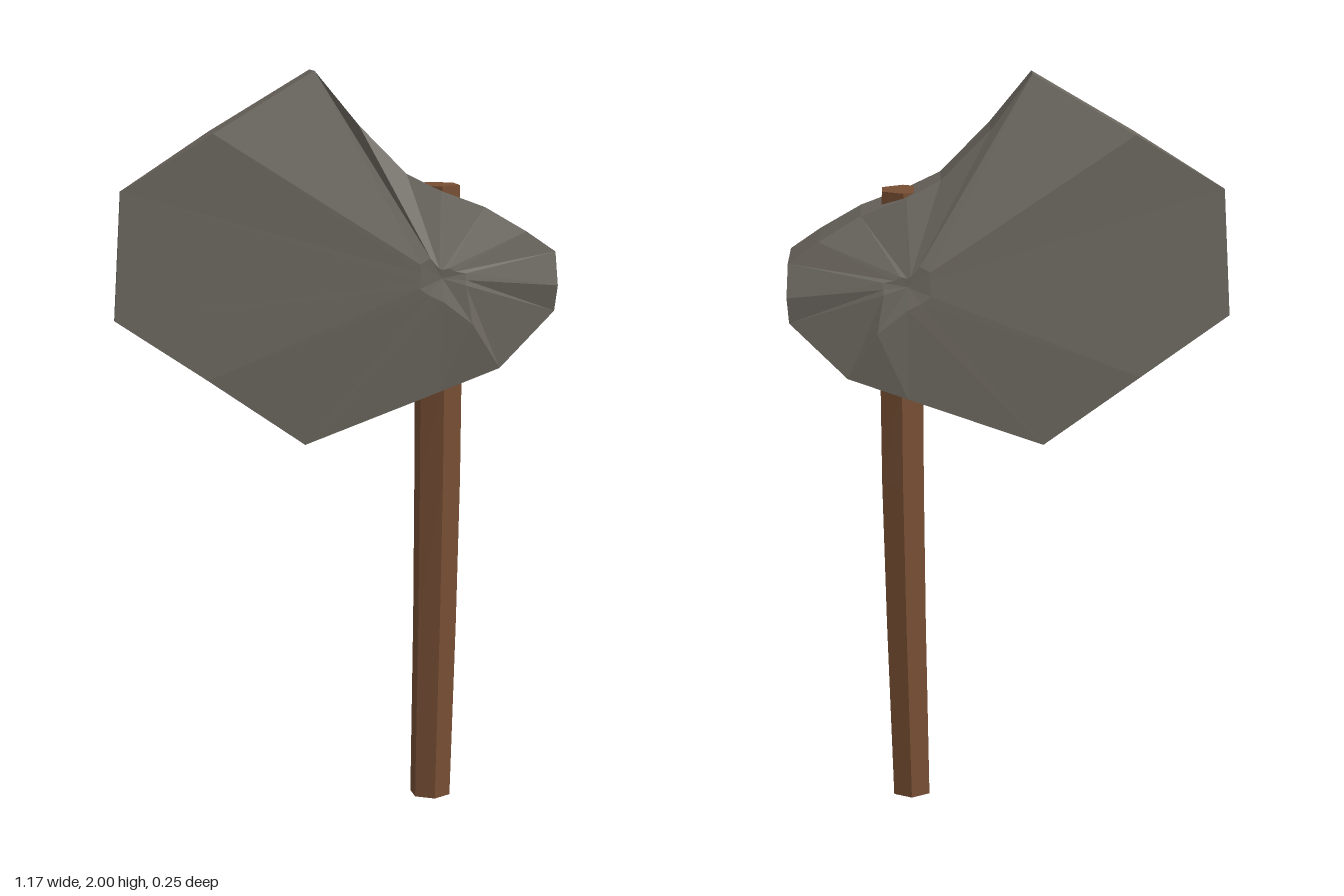
import * as THREE from 'three';

const stone = new THREE.MeshStandardMaterial({ color: 0x6b665e, flatShading: true });
stone.name = 'stone';
const wood = new THREE.MeshStandardMaterial({ color: 0x764e33, flatShading: true });
wood.name = 'wood';

// Closed faceted solid from a list of triangles
function facets(tris) {
  const g = new THREE.BufferGeometry();
  g.setAttribute('position', new THREE.Float32BufferAttribute(tris.flat(2), 3));
  g.computeVertexNormals();
  return g;
}

// Stone head: clockwise rim [x, y, half thickness, hub reach, hub depth]
function headGeometry() {
  const rim = [
    [-0.06, 2.0, 0.036, 0.1, 0.112],
    [0.05, 1.86, 0.076, 0.1, 0.112],
    [0.18, 1.73, 0.072, 0.1, 0.112],
    [0.27, 1.685, 0.088, 0.1, 0.112],
    [0.39, 1.64, 0.09, 0.15, 0.113],
    [0.5, 1.575, 0.105, 0.15, 0.114],
    [0.58, 1.52, 0.109, 0.2, 0.116],
    [0.585, 1.43, 0.12, 0.2, 0.118],
    [0.58, 1.36, 0.105, 0.2, 0.12],
    [0.43, 1.21, 0.108, 0.5, 0.127],
    [0.27, 1.15, 0.1, 0.2, 0.118],
    [-0.09, 1.01, 0.055, 0.1, 0.114],
    [-0.35, 1.19, 0.04, 0.1, 0.112],
    [-0.59, 1.35, 0.006, 0.07, 0.112],
    [-0.57, 1.69, 0.006, 0.07, 0.112],
    [-0.33, 1.84, 0.043, 0.1, 0.112],
  ];
  const cx = 0.27, cy = 1.455, cz = 0.11, tris = [];
  rim.forEach((a, i) => {
    const b = rim[(i + 1) % rim.length];
    const edge = (p, s) => [p[0], p[1], p[2] * s];
    const hub = (p, s) => [cx + (p[0] - cx) * p[3], cy + (p[1] - cy) * p[3], p[4] * s];
    for (const s of [1, -1]) {
      // cheek facets, then the shallow dimple in the middle
      const side = [
        [hub(a, s), edge(b, s), edge(a, s)],
        [hub(a, s), hub(b, s), edge(b, s)],
        [[cx, cy, cz * s], hub(b, s), hub(a, s)],
      ];
      side.forEach(t => tris.push(s > 0 ? t : t.reverse()));
    }
    // band joining both cheeks
    tris.push([edge(a, 1), edge(b, 1), edge(b, -1)], [edge(a, 1), edge(b, -1), edge(a, -1)]);
  });
  return facets(tris);
}

// Slightly bent six-sided handle: rings of [y, centre x, centre z, half x, half z]
function handleGeometry() {
  const rings = [
    [0, 0.272, 0.004, 0.049, 0.058],
    [0.5, 0.282, 0.002, 0.053, 0.062],
    [0.9, 0.287, 0, 0.056, 0.066],
    [1.2, 0.287, 0, 0.057, 0.071],
    [1.695, 0.278, 0, 0.056, 0.073],
  ];
  const corner = ([y, x, z, rx, rz], k) => {
    const t = k * Math.PI / 3;
    return [x + rx * Math.sin(t) / Math.sin(Math.PI / 3), y, z + rz * Math.cos(t)];
  };
  const tris = [], lo = rings[0], hi = rings[rings.length - 1];
  for (let k = 0; k < 6; k++) {
    for (let i = 0; i + 1 < rings.length; i++) {
      const a = corner(rings[i], k), b = corner(rings[i], k + 1);
      const c = corner(rings[i + 1], k + 1), d = corner(rings[i + 1], k);
      tris.push([a, b, c], [a, c, d]);
    }
    tris.push([[lo[1], lo[0], lo[2]], corner(lo, k + 1), corner(lo, k)]);
    tris.push([[hi[1], hi[0], hi[2]], corner(hi, k), corner(hi, k + 1)]);
  }
  return facets(tris);
}

export function createModel() {
  const group = new THREE.Group();
  group.name = 'stoneAxe';
  const head = new THREE.Mesh(headGeometry(), stone);
  head.name = 'head';
  const handle = new THREE.Mesh(handleGeometry(), wood);
  handle.name = 'handle';
  group.add(head, handle);
  return group;
}
